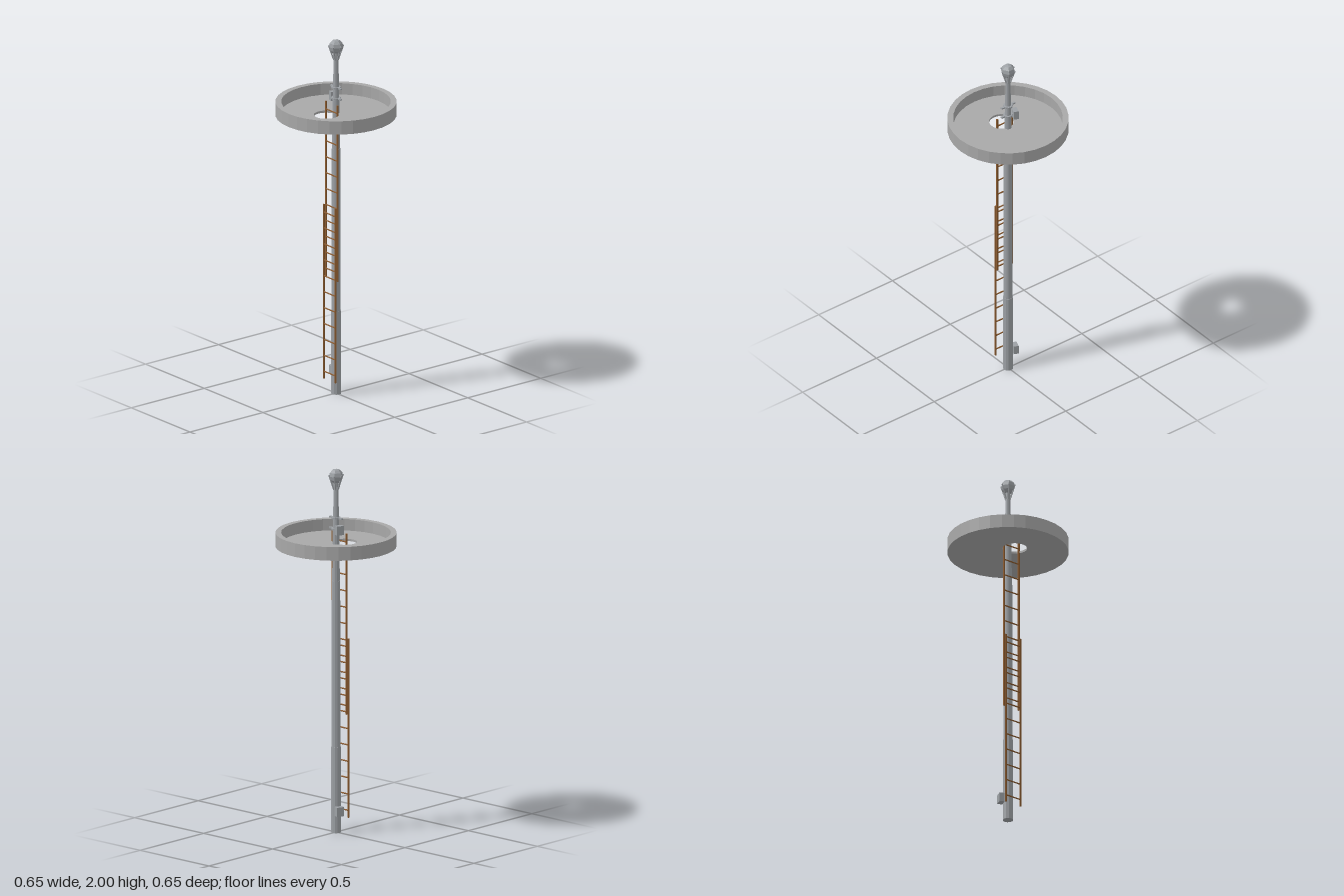
import * as THREE from 'three';

const material = (name, color) => {
  const m = new THREE.MeshStandardMaterial({ color, flatShading: true });
  m.name = name;
  return m;
};

export function createModel() {
  const root = new THREE.Group();
  root.name = 'crowsNestMast';
  const stone = material('platformGrey', 0xa8a8a8);
  const steel = material('steelGrey', 0x9da1a5);
  const wood = material('ladderBrown', 0x8a5a2e);

  const add = (name, geometry, mat, x = 0, y = 0, z = 0, parent = root) => {
    const mesh = new THREE.Mesh(geometry, mat);
    mesh.name = name;
    mesh.position.set(x, y, z);
    parent.add(mesh);
    return mesh;
  };

  // Mast: tapered sections, each [bottom y, top y, bottom radius, top radius]
  [
    [0, 0.47, 0.028, 0.027],
    [0.47, 1.385, 0.025, 0.023],
    [1.385, 1.66, 0.021, 0.019],
    [1.66, 1.93, 0.017, 0.013],
  ].forEach(([y0, y1, r0, r1], i) => {
    add('mastSection' + (i + 1), new THREE.CylinderGeometry(r1, r0, y1 - y0, 12), steel, 0, (y0 + y1) / 2);
  });

  // Round platform: floor disc with an access hole, and a raised rim
  const disc = (radius, hx, hy, holeRadius, depth) => {
    const shape = new THREE.Shape().absarc(0, 0, radius, 0, Math.PI * 2);
    shape.holes.push(new THREE.Path().absarc(hx, hy, holeRadius, 0, Math.PI * 2, true));
    return new THREE.ExtrudeGeometry(shape, { depth, bevelEnabled: false, curveSegments: 16 })
      .rotateX(-Math.PI / 2);
  };
  add('platformFloor', disc(0.293, -0.063, 0.005, 0.066, 0.012), stone, 0, 1.575);
  add('platformRim', disc(0.324, 0, 0, 0.293, 0.075), stone, 0, 1.575);

  // Two overlapping ladders
  const ladder = (name, x, y0, y1, firstRung) => {
    const group = new THREE.Group();
    group.name = name;
    root.add(group);
    for (const z of [-0.05, 0.05]) {
      add('ladderRail', new THREE.BoxGeometry(0.008, y1 - y0, 0.008), wood, x, (y0 + y1) / 2, z, group);
    }
    for (let y = firstRung; y < y1; y += 0.09) {
      add('ladderRung', new THREE.CylinderGeometry(0.004, 0.004, 0.1, 6).rotateX(Math.PI / 2), wood, x, y, 0, group);
    }
  };
  ladder('lowerLadder', -0.043, 0.08, 1.065, 0.12);
  ladder('upperLadder', -0.029, 0.65, 1.645, 0.7);

  // Junction boxes at the foot of the mast and above the platform
  for (const [name, y] of [['lowerBox', 0.122], ['upperBox', 1.67]]) {
    add(name, new THREE.BoxGeometry(0.042, 0.05, 0.028), steel, 0.014, y, -0.037).rotation.y = -0.36;
  }

  // Collars and crossbars on the upper mast
  for (const y of [1.67, 1.73]) {
    add('collar', new THREE.CylinderGeometry(0.026, 0.026, 0.008, 12), steel, 0, y);
    add('crossbar', new THREE.BoxGeometry(0.012, 0.008, 0.09), steel, 0, y);
  }

  // Faceted lamp globe held by six prongs
  add('lampGlobe', new THREE.SphereGeometry(0.04, 6, 6), steel, 0, 1.96).rotation.y = Math.PI / 6;
  const up = new THREE.Vector3(0, 1, 0);
  for (let i = 0; i < 6; i++) {
    const a = Math.PI / 6 + (i * Math.PI) / 3;
    const from = new THREE.Vector3(Math.cos(a) * 0.012, 1.885, Math.sin(a) * 0.012);
    const to = new THREE.Vector3(Math.cos(a) * 0.04, 1.968, Math.sin(a) * 0.04);
    const dir = to.clone().sub(from);
    const mid = from.clone().add(to).multiplyScalar(0.5);
    const prong = add('lampProng', new THREE.CylinderGeometry(0.004, 0.004, dir.length(), 6), steel, mid.x, mid.y, mid.z);
    prong.quaternion.setFromUnitVectors(up, dir.normalize());
  }
  return root;
}
